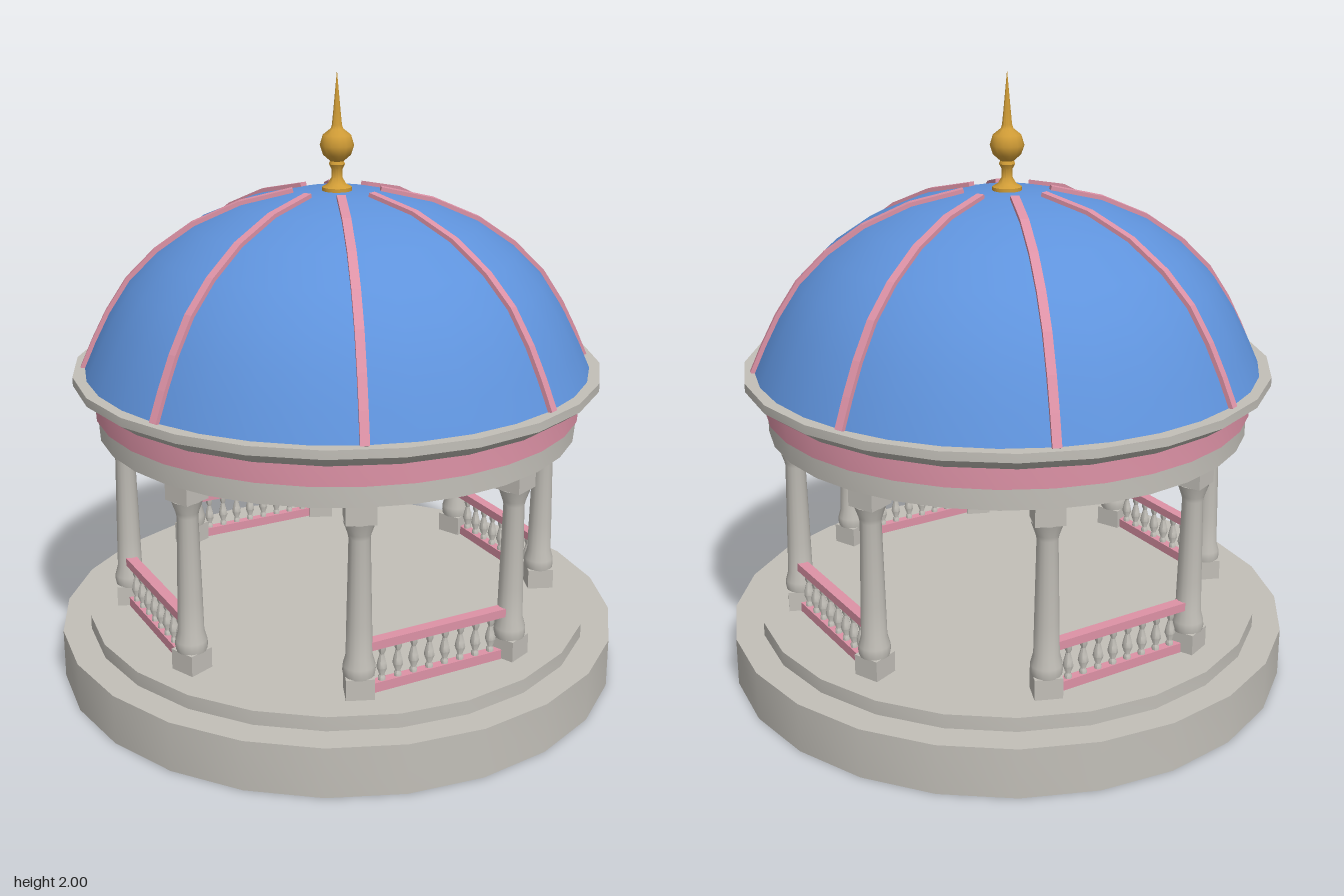
import * as THREE from 'three';
import { toCreasedNormals } from 'three/addons/utils/BufferGeometryUtils.js';

const mat = (name, color, side = THREE.FrontSide) => {
  const m = new THREE.MeshStandardMaterial({ color, side });
  m.name = name;
  return m;
};

export function createModel() {
  const stone = mat('stone', 0xc2bfb8, THREE.DoubleSide);
  const pink = mat('pink trim', 0xdd92a6);
  const blue = mat('blue dome', 0x5f93dc);
  const gold = mat('gold', 0xd09c36);

  const model = new THREE.Group();
  model.name = 'domedPavilion';

  const add = (parent, name, geometry, material, x = 0, y = 0, z = 0) => {
    const mesh = new THREE.Mesh(geometry, material);
    mesh.name = name;
    mesh.position.set(x, y, z);
    parent.add(mesh);
    return mesh;
  };
  // Turned profile of [radius, y] points, with hard edges kept sharp
  const turn = (points, sides, crease = 0.5) => toCreasedNormals(
    new THREE.LatheGeometry(points.map(p => new THREE.Vector2(...p)), sides), crease);
  const box = (w, h, d) => new THREE.BoxGeometry(w, h, d);
  // Group turned about the vertical axis, with its contents built facing +z
  const spoke = (name, angle) => {
    const g = new THREE.Group();
    g.name = name;
    g.rotation.y = angle;
    model.add(g);
    return g;
  };

  // Stepped base, hollow underneath
  add(model, 'base', turn([[0.942, 0], [0.942, 0.165], [0.848, 0.165], [0.848, 0.212], [0, 0.212]], 24), stone);

  // Ring beam with ceiling, painted band and cornice
  add(model, 'ringBeam', turn([[0, 0.85], [0.79, 0.85], [0.79, 0.918]], 32), stone);
  add(model, 'frieze', turn([[0.78, 0.918], [0.8, 0.918], [0.8, 0.985], [0.78, 0.985]], 32), pink);
  add(model, 'cornice', turn([[0.79, 0.982], [0.81, 0.985], [0.866, 1.025], [0.866, 1.053], [0.81, 1.053]], 24), stone);

  // Dome
  const domeProfile = [[0.828, 1.05], [0.788, 1.14], [0.74, 1.235], [0.672, 1.34], [0.58, 1.432],
    [0.46, 1.515], [0.31, 1.58], [0.14, 1.618]];
  add(model, 'dome', turn([...domeProfile, [0, 1.622]], 32, 1), blue);

  // Ribs: a thin band following the dome profile
  const pts = domeProfile.map(p => new THREE.Vector2(...p));
  const offset = d => pts.map((p, i) => {
    const t = pts[Math.min(i + 1, pts.length - 1)].clone().sub(pts[Math.max(i - 1, 0)]).normalize();
    return new THREE.Vector2(p.x + t.y * d, p.y - t.x * d);
  });
  const ribShape = new THREE.Shape([...offset(0.013), ...offset(-0.01).reverse()]);
  const ribGeo = new THREE.ExtrudeGeometry(ribShape, { depth: 0.028, bevelEnabled: false });
  ribGeo.translate(0, 0, -0.014);

  // Columns and ribs share the same eight directions
  const shaftGeo = turn([[0.048, 0.278], [0.051, 0.295], [0.05, 0.312], [0.041, 0.345], [0.039, 0.45],
    [0.033, 0.725], [0.036, 0.74], [0.05, 0.78]], 16, 0.7);
  for (let i = 0; i < 8; i++) {
    const a = Math.PI / 8 + i * Math.PI / 4;
    const column = spoke('column', a);
    add(column, 'plinth', box(0.088, 0.068, 0.088), stone, 0, 0.246, 0.71);
    add(column, 'shaft', shaftGeo, stone, 0, 0, 0.71);
    add(column, 'capital', box(0.092, 0.07, 0.092), stone, 0, 0.815, 0.71);
    const rib = add(model, 'domeRib', ribGeo, pink);
    rib.rotation.y = a;
  }

  // Balustrades on the four diagonals
  const balusterGeo = turn([[0.012, 0.24], [0.012, 0.253], [0.008, 0.26], [0.017, 0.285], [0.014, 0.303],
    [0.007, 0.33], [0.012, 0.342], [0.012, 0.358]], 8, 0.9);
  for (let i = 0; i < 4; i++) {
    const rail = spoke('balustrade', Math.PI / 4 + i * Math.PI / 2);
    add(rail, 'topRail', box(0.5, 0.028, 0.036), pink, 0, 0.371, 0.662);
    add(rail, 'bottomRail', box(0.46, 0.035, 0.03), pink, 0, 0.226, 0.662);
    for (let k = 0; k < 8; k++) add(rail, 'baluster', balusterGeo, stone, (k - 3.5) * 0.056, 0, 0.662);
  }

  // Finial
  add(model, 'finial', turn([[0, 1.612], [0.048, 1.615], [0.048, 1.632], [0.03, 1.642], [0.018, 1.662],
    [0.018, 1.69], [0.026, 1.705], [0.022, 1.715], [0.045, 1.735], [0.055, 1.765], [0.045, 1.798],
    [0.02, 1.818], [0.016, 1.83], [0.012, 1.87], [0, 2]], 14, 0.8), gold);

  // Hanging lantern
  const lantern = spoke('lantern', 0);
  add(lantern, 'chain', new THREE.CylinderGeometry(0.003, 0.003, 0.125, 6), gold, 0, 0.79, 0);
  add(lantern, 'knob', new THREE.SphereGeometry(0.009, 8, 6), gold, 0, 0.735, 0);
  const roof = add(lantern, 'lanternRoof', new THREE.CylinderGeometry(0.008, 0.048, 0.04, 4).toNonIndexed(), gold, 0, 0.71, 0);
  roof.geometry.computeVertexNormals();
  roof.rotation.y = Math.PI / 4;
  add(lantern, 'lanternFloor', box(0.062, 0.012, 0.062), gold, 0, 0.603, 0);
  for (const x of [-1, 1]) for (const z of [-1, 1]) {
    add(lantern, 'lanternPost', box(0.006, 0.085, 0.006), gold, x * 0.025, 0.649, z * 0.025);
  }

  return model;
}
